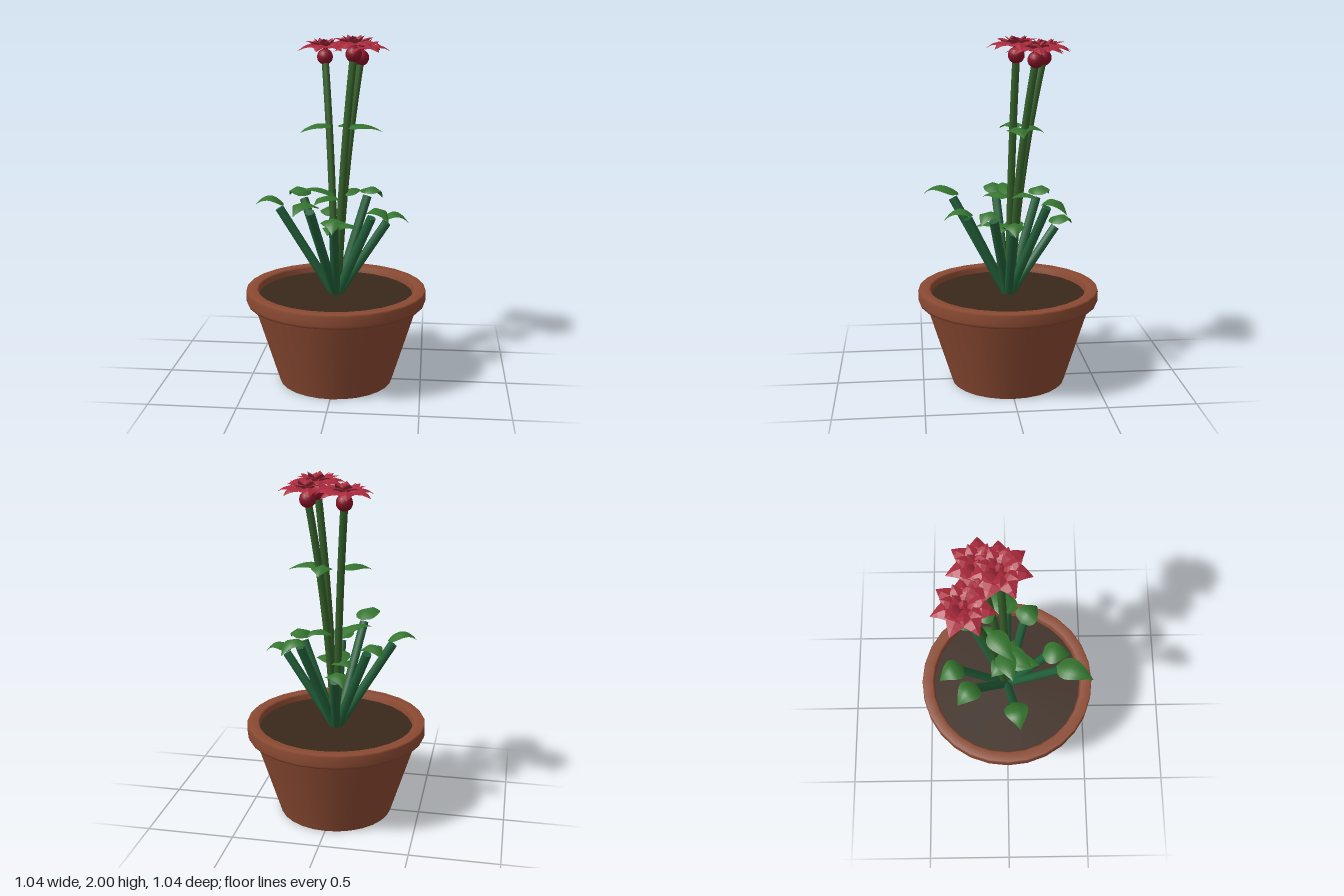
import * as THREE from 'three';

const paint = (color, extra = {}) => new THREE.MeshStandardMaterial({ color, ...extra });
const V = (p) => new THREE.Vector3(...p);

const clay = paint(0x8b4a32, { side: THREE.DoubleSide });
const earth = paint(0x3a281c);
const flowerStemGreen = paint(0x34602a);
const leafStemGreen = paint(0x22603a);
const leafGreen = paint(0x35752f, { side: THREE.DoubleSide });
const petalRed = paint(0xa82a3c, { side: THREE.DoubleSide, flatShading: true });
const budRed = paint(0x8a1228);

function add(parent, name, geometry, material) {
  const mesh = new THREE.Mesh(geometry, material);
  mesh.name = name;
  parent.add(mesh);
  return mesh;
}

// Arched blade from root to tip, creased along its midrib
function blade(root, tip, { width, arch, fold, rows, outline }) {
  const a = V(root), b = V(tip);
  const side = new THREE.Vector3(a.z - b.z, 0, b.x - a.x).normalize();
  const mid = a.clone().lerp(b, 0.5);
  mid.y += arch * 2;
  const spine = new THREE.QuadraticBezierCurve3(a, mid, b);
  const positions = [], index = [];
  for (let i = 0; i <= rows; i++) {
    const p = spine.getPoint(i / rows);
    const half = (width / 2) * outline(i / rows);
    for (let j = -2; j <= 2; j++) {
      const s = (j / 2) * half;
      positions.push(p.x + side.x * s, p.y - fold * Math.abs(s), p.z + side.z * s);
    }
    if (i < rows) {
      for (let j = 0; j < 4; j++) {
        const k = i * 5 + j;
        index.push(k, k + 5, k + 1, k + 1, k + 5, k + 6);
      }
    }
  }
  const geometry = new THREE.BufferGeometry();
  geometry.setAttribute('position', new THREE.Float32BufferAttribute(positions, 3));
  geometry.setIndex(index);
  geometry.computeVertexNormals();
  return geometry;
}

const leafOutline = (t) => Math.sin(Math.PI * Math.min(1, Math.pow(t, 0.62)));
const petalOutline = (t) => (t < 0.5 ? 0.35 + 1.3 * t : 2 * (1 - t));

const leaf = (parent, root, tip, width, arch) =>
  add(parent, 'leaf', blade(root, tip, { width, arch, fold: 0.35, rows: 10, outline: leafOutline }), leafGreen);

function buildPot(parent) {
  const pot = new THREE.Group();
  pot.name = 'pot';
  const lathe = (name, pts, mat) =>
    add(pot, name, new THREE.LatheGeometry(pts.map(([x, y]) => new THREE.Vector2(x, y)), 28), mat);
  lathe('potBody', [[0.33, 0], [0.48, 0.48]], clay);
  lathe('potRim', [[0.48, 0.475], [0.515, 0.48], [0.521, 0.495], [0.521, 0.55], [0.515, 0.56],
    [0.46, 0.56], [0.45, 0.55], [0.445, 0.5]], clay);
  const base = add(pot, 'potBase', new THREE.CircleGeometry(0.33, 28), clay);
  base.rotation.x = Math.PI / 2;
  const soil = add(pot, 'soil', new THREE.CircleGeometry(0.448, 28), earth);
  soil.rotation.x = -Math.PI / 2;
  soil.position.y = 0.52;
  parent.add(pot);
}

// Round bud with three whorls of pointed petals
function buildFlower(parent, center) {
  const flower = new THREE.Group();
  flower.name = 'flower';
  add(flower, 'bud', new THREE.SphereGeometry(0.046, 14, 10), budRed);
  const whorls = [
    { name: 'outerPetal', n: 7, from: [0.015, 0.05], to: [0.168, 0.035], width: 0.105, arch: 0.03, turn: 101 },
    { name: 'middlePetal', n: 7, from: [0.012, 0.055], to: [0.115, 0.088], width: 0.085, arch: 0.012, turn: 127 },
    { name: 'innerPetal', n: 5, from: [0.01, 0.06], to: [0.065, 0.104], width: 0.06, arch: 0.005, turn: 90 },
  ];
  for (const w of whorls) {
    for (let i = 0; i < w.n; i++) {
      const angle = THREE.MathUtils.degToRad(w.turn) + (i / w.n) * Math.PI * 2;
      const at = ([r, y]) => [r * Math.cos(angle), y, r * Math.sin(angle)];
      add(flower, w.name, blade(at(w.from), at(w.to),
        { width: w.width, arch: w.arch, fold: 0.3, rows: 4, outline: petalOutline }), petalRed);
    }
  }
  const heart = add(flower, 'flowerHeart', new THREE.IcosahedronGeometry(0.026, 0), petalRed);
  heart.position.y = 0.075;
  flower.position.set(...center);
  parent.add(flower);
}

export function createModel() {
  const model = new THREE.Group();
  model.name = 'pottedFlowers';
  buildPot(model);

  // Tall flower stems, leaning outwards near the top
  for (const c of [[-0.085, 1.87, -0.21], [0.095, 1.895, -0.035], [0.128, 1.87, -0.138]]) {
    const curve = new THREE.QuadraticBezierCurve3(
      new THREE.Vector3(c[0] * 0.08, 0.5, c[2] * 0.08),
      new THREE.Vector3(c[0] * 0.25, 1.2, c[2] * 0.25), V(c));
    add(model, 'flowerStem', new THREE.TubeGeometry(curve, 12, 0.021, 8), flowerStemGreen);
    buildFlower(model, c);
  }

  // Leaves growing from the flower stems: root, tip
  const stemLeaves = [
    [[-0.04, 1.49, -0.09], [-0.2, 1.46, 0.03]],
    [[0.05, 1.49, -0.03], [0.26, 1.46, -0.06]],
    [[0.06, 1.49, -0.06], [0.06, 1.46, -0.2]],
    [[-0.01, 1.1, -0.03], [-0.2, 1.13, 0.03]],
    [[0, 1.09, -0.01], [-0.11, 1.07, 0.14]],
    [[0.03, 1.1, -0.03], [0.14, 1.1, -0.14]],
    [[0, 0.92, 0], [-0.03, 0.91, 0.19]],
    [[0, 0.92, 0], [0.13, 0.91, 0.05]],
    [[0, 0.92, -0.01], [-0.1, 0.91, -0.09]],
  ];
  for (const [root, tip] of stemLeaves) leaf(model, root, tip, 0.12, 0.03);

  // Thick straight stalks from the soil, each ending in a drooping leaf: end, tip
  const stalks = [
    [[-0.32, 1.03, 0.04], [-0.455, 1.05, 0.07]],
    [[-0.11, 1.07, 0.31], [-0.18, 1.08, 0.48]],
    [[0.01, 0.97, 0.23], [0.015, 0.96, 0.37]],
    [[0.21, 1.0, 0.1], [0.31, 0.99, 0.18]],
    [[0.29, 0.95, 0], [0.415, 0.95, 0]],
    [[0.165, 1.06, -0.2], [0.25, 1.03, -0.3]],
    [[-0.045, 0.9, -0.28], [-0.115, 0.9, -0.39]],
    [[-0.21, 1.04, -0.19], [-0.31, 1.04, -0.28]],
  ];
  for (const [end, tip] of stalks) {
    const line = new THREE.LineCurve3(new THREE.Vector3(0, 0.5, 0), V(end));
    add(model, 'leafStalk', new THREE.TubeGeometry(line, 1, 0.026, 8), leafStemGreen);
    const cap = add(model, 'stalkEnd', new THREE.CircleGeometry(0.026, 8), leafStemGreen);
    cap.position.set(...end);
    cap.lookAt(V(end).multiplyScalar(2).sub(new THREE.Vector3(0, 0.5, 0)));
    // The leaf starts slightly inside the stalk's end
    const root = V(end).lerp(V(tip), -0.2).toArray();
    root[1] = end[1] + 0.02;
    leaf(model, root, tip, 0.135, 0.055);
  }
  return model;
}
